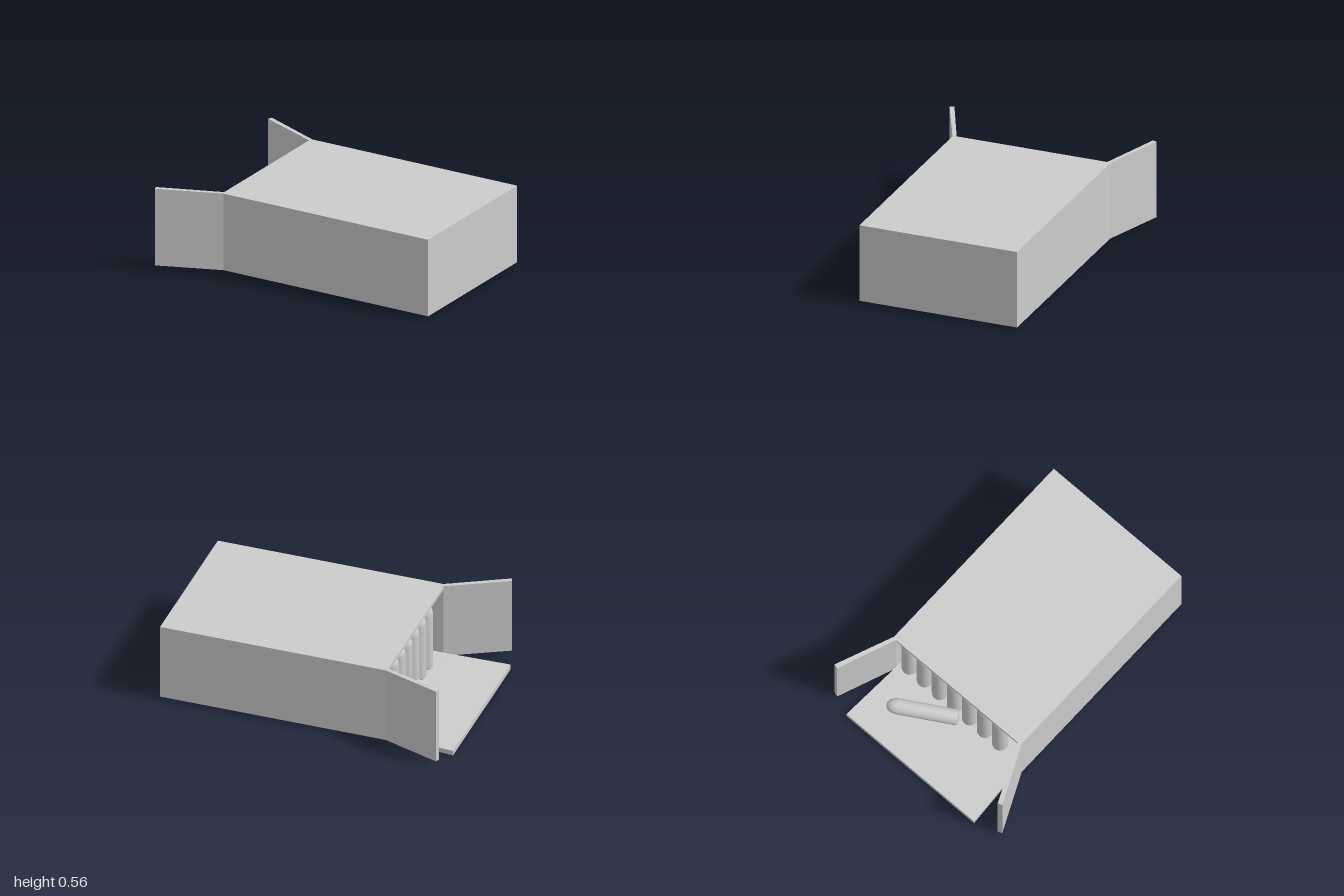
import * as THREE from 'three';

export function createModel() {
  const model = new THREE.Group();
  const grey = new THREE.MeshStandardMaterial({ color: 0xcccccc });
  grey.name = 'lightGrey';

  function add(parent, name, geometry) {
    const mesh = new THREE.Mesh(geometry, grey);
    mesh.name = name;
    parent.add(mesh);
    return mesh;
  }

  // Straight board between two corners
  function board(parent, name, [x0, y0, z0], [x1, y1, z1]) {
    const mesh = add(parent, name, new THREE.BoxGeometry(x1 - x0, y1 - y0, z1 - z0));
    mesh.position.set((x0 + x1) / 2, (y0 + y1) / 2, (z0 + z1) / 2);
  }

  // Flap: a unit box whose corners are moved by a rule (i, j, k are 0 or 1)
  function flap(name, corner) {
    const geometry = new THREE.BoxGeometry(1, 1, 1);
    const p = geometry.attributes.position;
    for (let n = 0; n < p.count; n++) {
      p.setXYZ(n, ...corner(p.getX(n) > 0 ? 1 : 0, p.getY(n) > 0 ? 1 : 0, p.getZ(n) > 0 ? 1 : 0));
    }
    geometry.computeVertexNormals();
    add(model, name, geometry);
  }

  // Carton sleeve, open at the right end
  const carton = new THREE.Group();
  carton.name = 'carton';
  model.add(carton);
  board(carton, 'floor', [-0.55, 0.02, -0.57], [1, 0.045, 0.53]);
  board(carton, 'roof', [-0.55, 0.525, -0.57], [1, 0.55, 0.53]);
  board(carton, 'backWall', [-0.55, 0.045, -0.57], [1, 0.525, -0.545]);
  board(carton, 'frontWall', [-0.55, 0.045, 0.505], [1, 0.525, 0.53]);
  board(carton, 'endWall', [0.975, 0.045, -0.545], [1, 0.525, 0.505]);

  // Opened flaps
  flap('bottomFlap', (i, j, k) => i
    ? [-0.55, j ? 0.045 : 0.02, k ? 0.505 : -0.545]
    : [-1, j ? 0.035 : 0, k ? 0.53 : -0.57]);
  flap('frontFlap', (i, j, k) => i
    ? [k ? -0.54 : -0.55, j ? 0.55 : 0.02, k ? 0.53 : 0.505]
    : [k ? -0.94 : -0.95, j ? 0.565 : 0.035, k ? 0.72 : 0.69]);
  flap('backFlap', (i, j, k) => i
    ? [k ? -0.55 : -0.54, j ? 0.55 : 0.02, k ? -0.545 : -0.57]
    : [k ? -0.95 : -0.94, j ? 0.565 : 0.035, k ? -0.695 : -0.725]);

  // Round stick with a blunt tip, standing on its base
  const R = 0.053;
  const profile = [[0, 0], [R * 0.85, 0], [R, 0.012], [R, 0.4], [R * 0.9, 0.43],
    [R * 0.68, 0.455], [R * 0.35, 0.468], [0, 0.472]];
  const stick = new THREE.LatheGeometry(profile.map(([x, y]) => new THREE.Vector2(x, y)), 20);

  // Packed rows, with one stick missing from the front corner
  const rows = new THREE.Group();
  rows.name = 'packedSticks';
  model.add(rows);
  for (let r = 0; r < 12; r++) {
    for (let c = 0; c < 8; c++) {
      if (r === 0 && c === 7) continue;
      add(rows, 'stick', stick).position.set(-0.495 + r * 0.128, 0.047, -0.475 + c * 0.13);
    }
  }

  // Loose stick lying on the bottom flap
  const loose = add(model, 'looseStick', stick);
  const direction = new THREE.Vector3(-0.24, 0, -0.406).normalize();
  loose.quaternion.setFromUnitVectors(new THREE.Vector3(0, 1, 0), direction);
  loose.position.set(-0.555, 0.098, -0.002);

  return model;
}
